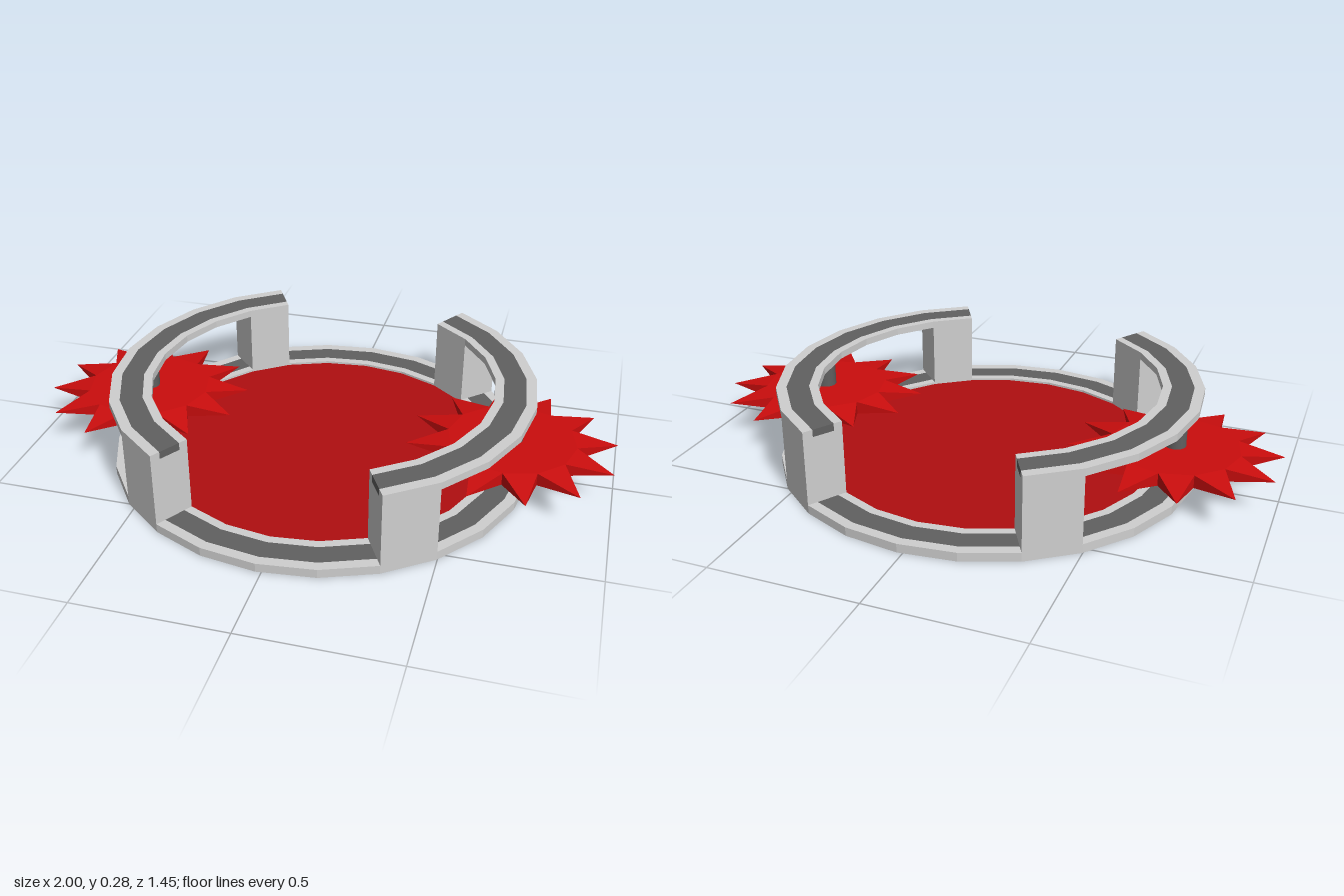
import * as THREE from 'three';

const mat = (name, color) => {
  const m = new THREE.MeshStandardMaterial({ color });
  m.name = name;
  return m;
};
const rad = THREE.MathUtils.degToRad;

// Faceted slab of a ring between two radii and two angles (15 degree facets)
function ringSlab(r0, r1, a0, a1, y0, y1) {
  const pts = [];
  for (let a = a0; a <= a1; a += 15) pts.push(new THREE.Vector2(r1 * Math.cos(rad(a)), r1 * Math.sin(rad(a))));
  for (let a = a1; a >= a0; a -= 15) pts.push(new THREE.Vector2(r0 * Math.cos(rad(a)), r0 * Math.sin(rad(a))));
  const g = new THREE.ExtrudeGeometry(new THREE.Shape(pts), { depth: y1 - y0, bevelEnabled: false });
  return g.rotateX(-Math.PI / 2).translate(0, y0, 0);
}

// Flat hub with pyramid spikes all round
function spikedWheel(count, hub, tip, half) {
  const v = [];
  const at = (r, a, y) => [r * Math.cos(a), y, -r * Math.sin(a)];
  const tri = (a, b, c) => v.push(...a, ...b, ...c);
  const step = (Math.PI * 2) / count;
  for (let i = 0; i < count; i++) {
    const a = i * step, b = a + step;
    const t = at(tip, a + step / 2, 0);
    const aU = at(hub, a, half), bU = at(hub, b, half);
    const aD = at(hub, a, -half), bD = at(hub, b, -half);
    tri([0, half, 0], aU, bU);
    tri([0, -half, 0], bD, aD);
    tri(aU, t, bU);
    tri(bD, t, aD);
    tri(aD, t, aU);
    tri(bU, t, bD);
  }
  const g = new THREE.BufferGeometry();
  g.setAttribute('position', new THREE.Float32BufferAttribute(v, 3));
  g.computeVertexNormals();
  return g;
}

export function createModel() {
  const light = mat('light grey', 0xcfcfcf);
  const dark = mat('dark grey', 0x606060);
  const floorRed = mat('floor red', 0xb00e10);
  const bladeRed = mat('blade red', 0xcb0d0d);

  const model = new THREE.Group();
  model.name = 'spikedArena';
  model.rotation.y = rad(-1.5);
  const add = (name, geometry, material, parent = model) => {
    const m = new THREE.Mesh(geometry, material);
    m.name = name;
    parent.add(m);
    return m;
  };

  const IN = 0.585, S0 = 0.615, S1 = 0.69, OUT = 0.725;
  const LOW = 0.03, RAIL = 0.26, TOP = 0.285;

  // Light rail with a dark stripe along its middle
  const rail = (name, a0, a1, y0, y1) => {
    add(name + 'InnerRim', ringSlab(IN, S0, a0, a1, y0, y1), light);
    add(name + 'Stripe', ringSlab(S0, S1, a0, a1, y0, y1), dark);
    add(name + 'OuterRim', ringSlab(S1, OUT, a0, a1, y0, y1), light);
  };

  // Floor disc
  const floor = new THREE.CylinderGeometry(IN, IN, 0.016, 24);
  add('floorDisc', floor.rotateY(Math.PI / 2).translate(0, 0.014, 0), floorRed);

  // Everything on the ring repeats after half a turn
  for (const turn of [0, 180]) {
    rail('baseSide', turn - 45, turn + 45, 0, LOW);
    rail('baseGap', turn + 60, turn + 120, 0, LOW);
    rail('upperRail', turn - 60, turn + 60, RAIL, TOP);

    // Posts at both ends of the upper rail, with the base ring filling beside them
    for (const a of [-60, 45]) add('post', ringSlab(IN, OUT, turn + a, turn + a + 15, 0, RAIL), light);

    // Axle and spiked wheel
    const wheel = new THREE.Group();
    wheel.name = 'wheelAssembly';
    wheel.position.x = turn ? -0.655 : 0.655;
    model.add(wheel);
    add('axle', new THREE.CylinderGeometry(0.036, 0.036, RAIL, 16).translate(0, RAIL / 2, 0), dark, wheel);
    add('spikedWheel', spikedWheel(12, 0.215, 0.354, 0.022).translate(0, 0.13, 0), bladeRed, wheel);
  }

  const root = new THREE.Group();
  root.name = 'model';
  root.add(model);
  return root;
}
